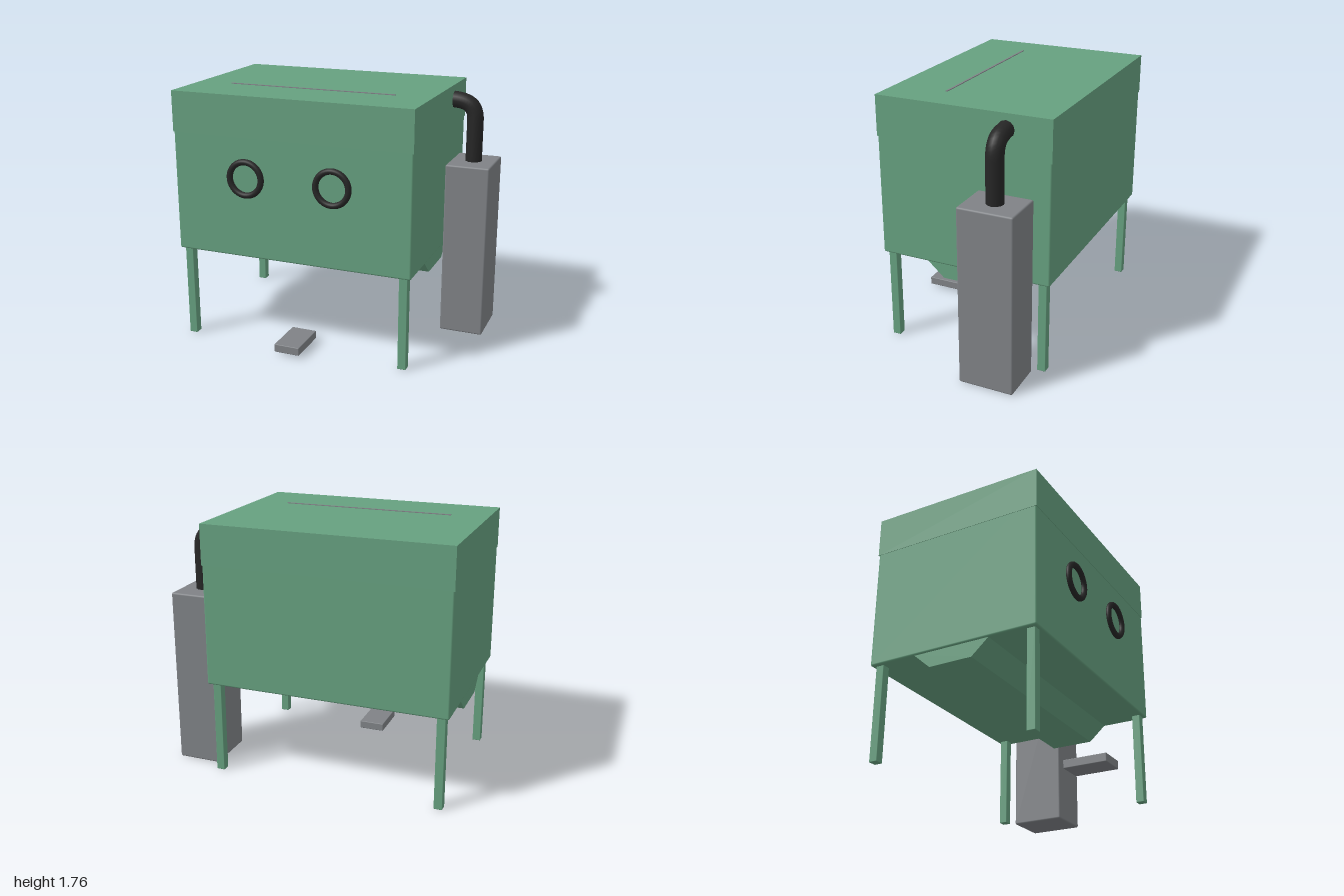
import * as THREE from 'three';
import { RoundedBoxGeometry } from 'three/addons/geometries/RoundedBoxGeometry.js';

const material = (name, color, side = THREE.FrontSide) => {
  const m = new THREE.MeshStandardMaterial({ color, side });
  m.name = name;
  return m;
};

export function createModel() {
  const green = material('cabinet green', 0x66a07f);
  const grey = material('machine grey', 0x7f8286);
  const black = material('black rubber', 0x262626, THREE.DoubleSide);

  const model = new THREE.Group();
  model.name = 'blastCabinet';

  const add = (name, geometry, mat, parent = model) => {
    const mesh = new THREE.Mesh(geometry, mat);
    mesh.name = name;
    parent.add(mesh);
    return mesh;
  };

  // Box given by its limits on each axis, with small rounded edges
  const box = (name, mat, [x0, x1], [y0, y1], [z0, z1], r = 0) => {
    const size = [x1 - x0, y1 - y0, z1 - z0];
    const geo = r ? new RoundedBoxGeometry(...size, 2, r) : new THREE.BoxGeometry(...size);
    geo.translate((x0 + x1) / 2, (y0 + y1) / 2, (z0 + z1) / 2);
    return add(name, geo, mat);
  };

  // Cabinet: rounded lower tub with a sharp-edged hood over it
  box('cabinetBody', green, [-0.997, 0.687], [0.65, 1.6], [-0.647, 0.569], 0.012);
  box('cabinetHood', green, [-1, 0.69], [1.48, 1.757], [-0.65, 0.572]);

  // Edge of the viewing window standing just proud of the roof
  box('windowEdge', grey, [-0.75, 0.44], [1.75, 1.762], [0.183, 0.197]);

  // Sloping hopper under the cabinet, drawn in z-y and extruded along x
  const profile = new THREE.Shape([
    new THREE.Vector2(-0.32, 0.66), new THREE.Vector2(-0.19, 0.545),
    new THREE.Vector2(0.115, 0.545), new THREE.Vector2(0.245, 0.66),
  ]);
  const hopper = new THREE.ExtrudeGeometry(profile, { depth: 1.66, bevelEnabled: false });
  hopper.rotateY(-Math.PI / 2).translate(0.675, 0, 0);
  add('hopper', hopper, green);

  // Four square legs
  for (const [side, x] of [['left', 0.63], ['right', -0.94]]) {
    for (const [end, z] of [['Front', 0.517], ['Back', -0.589]]) {
      box(`${side}${end}Leg`, green, [x - 0.029, x + 0.029], [0.003, 0.66], [z - 0.029, z + 0.029], 0.004);
    }
  }

  // Arm hole rings on the front
  for (const [side, x] of [['left', 0.152], ['right', -0.465]]) {
    add(`${side}ArmRing`, new THREE.TorusGeometry(0.114, 0.021, 12, 40), black)
      .position.set(x, 1.205, 0.579);
  }

  // Dust collector and its hose into the cabinet side
  box('dustCollector', grey, [0.69, 0.997], [0.003, 1.233], [-0.535, -0.156], 0.012);
  const v = (x, y) => new THREE.Vector3(x, y, -0.345);
  const path = new THREE.CurvePath();
  path.add(new THREE.LineCurve3(v(0.64, 1.658), v(0.7, 1.654)));
  path.add(new THREE.CubicBezierCurve3(v(0.7, 1.654), v(0.79, 1.648), v(0.842, 1.62), v(0.842, 1.52)));
  path.add(new THREE.LineCurve3(v(0.842, 1.52), v(0.842, 1.21)));
  add('dustHose', new THREE.TubeGeometry(path, 32, 0.058, 12), black);

  // Foot pedal on the floor
  box('footPedal', grey, [-0.247, -0.065], [0.02, 0.077], [0.35, 0.65], 0.005);

  return model;
}
